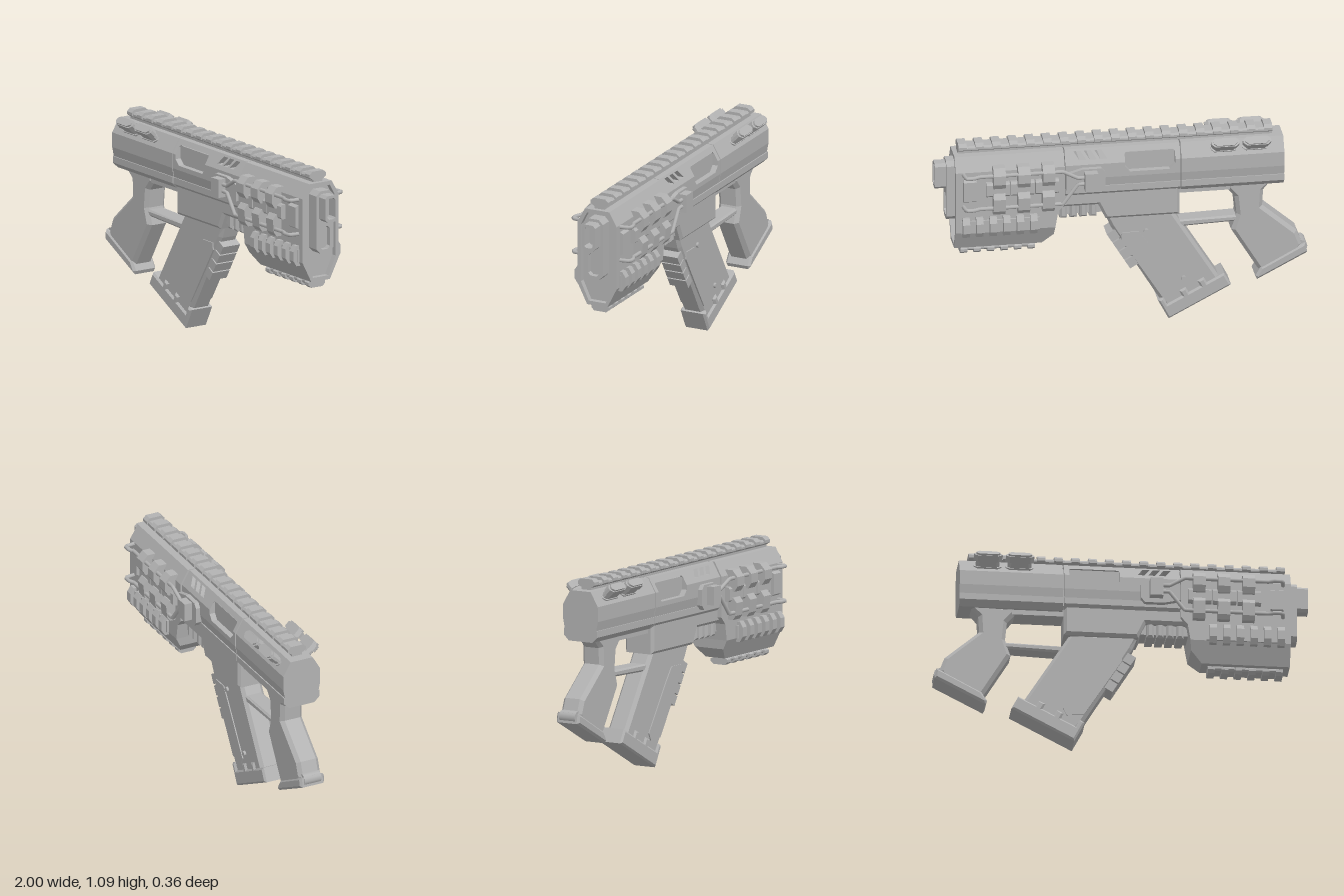
import * as THREE from 'three';

export function createModel() {
  const model = new THREE.Group();
  const grey = new THREE.MeshStandardMaterial({ color: 0xb2b2b2 });
  grey.name = 'grey metal';

  const add = (name, geo) => {
    const mesh = new THREE.Mesh(geo, grey);
    mesh.name = name;
    model.add(mesh);
    return mesh;
  };
  const poly = (pts, holes = []) => {
    const s = new THREE.Shape(pts.map(p => new THREE.Vector2(...p)));
    s.holes = holes.map(h => new THREE.Path(h.map(p => new THREE.Vector2(...p))));
    return s;
  };
  const box = (name, x0, x1, y0, y1, z0, z1) =>
    add(name, new THREE.BoxGeometry(x1 - x0, y1 - y0, z1 - z0)
      .translate((x0 + x1) / 2, (y0 + y1) / 2, (z0 + z1) / 2));

  // Side outline with half width tapering linearly from w0 at y0 to w1 at y1
  const slab = (name, pts, y0, w0, y1, w1, holes) => {
    const g = new THREE.ExtrudeGeometry(poly(pts, holes), { depth: 1, bevelEnabled: false });
    const p = g.attributes.position;
    for (let i = 0; i < p.count; i++) {
      const w = w0 + (w1 - w0) * (p.getY(i) - y0) / (y1 - y0);
      p.setZ(i, p.getZ(i) > 0.5 ? w : -w);
    }
    g.computeVertexNormals();
    return add(name, g);
  };
  const band = (name, x0, x1, y0, w0, y1, w1) =>
    slab(name, [[x0, y0], [x1, y0], [x1, y1], [x0, y1]], y0, w0, y1, w1);

  // Side outline with chamfered edges, centred on z
  const plate = (name, pts, half, bevel = 0.015) =>
    add(name, new THREE.ExtrudeGeometry(poly(pts), {
      depth: 2 * (half - bevel), bevelThickness: bevel, bevelSize: bevel,
      bevelOffset: -bevel, bevelSegments: 1,
    }).translate(0, 0, bevel - half));

  // Side outline between two depths on one side
  const sidePlate = (name, pts, s, z0, z1) =>
    add(name, new THREE.ExtrudeGeometry(poly(pts), { depth: z1 - z0, bevelEnabled: false })
      .translate(0, 0, s > 0 ? z0 : -z1));

  // Section given as [z, y], swept along x
  const along = (name, pts, x0, x1, holes = []) => {
    const flip = list => list.map(([z, y]) => [-z, y]);
    return add(name, new THREE.ExtrudeGeometry(poly(flip(pts), holes.map(flip)),
      { depth: x1 - x0, bevelEnabled: false }).rotateY(Math.PI / 2).translate(x0, 0, 0));
  };
  const mirror = half => [...half, ...half.map(([z, y]) => [-z, y]).reverse()];
  const slot = (w, y0, y1, c) =>
    mirror([[w - c, y1], [w, y1 - c], [w, y0 + c], [w - c, y0]]);

  // Upper receiver: rear part, then middle part with window notch and slots
  const layers = (name, x0, x1) => {
    band(name, x0, x1, 0.83, 0.1, 0.88, 0.11);
    band(name, x0, x1, 0.795, 0.106, 0.83, 0.106);
    band(name, x0, x1, 0.765, 0.075, 0.795, 0.106);
  };
  layers('rearReceiver', -0.865, -0.313);
  band('rearReceiver', -0.865, -0.313, 0.88, 0.11, 0.96, 0.11);
  band('rearReceiverTop', -0.865, -0.313, 0.96, 0.11, 1.037, 0.065);
  layers('middleReceiver', -0.307, 0.31);
  slab('middleReceiver', [[-0.307, 0.88], [0.31, 0.88], [0.31, 0.96], [-0.01, 0.96],
    [-0.01, 0.935], [-0.035, 0.905], [-0.25, 0.905], [-0.28, 0.935], [-0.28, 0.96],
    [-0.307, 0.96]], 0.88, 0.11, 0.96, 0.11);
  const vents = [0, 1, 2].map(i => [[0.085, 0.983], [0.122, 0.983], [0.15, 1.026], [0.113, 1.026]]
    .map(([x, y]) => [x + i * 0.056, y]));
  slab('middleReceiverTop', [[-0.307, 0.96], [-0.28, 0.96], [-0.28, 1], [-0.27, 1.01],
    [-0.02, 1.01], [-0.01, 1], [-0.01, 0.96], [0.31, 0.96], [0.31, 1.037], [-0.307, 1.037]],
    0.96, 0.11, 1.037, 0.065, vents);
  box('receiverCore', -0.34, 0.01, 0.79, 1.005, -0.078, 0.078);

  // Lower receiver and ribbed throat
  plate('lowerReceiver', [[-0.307, 0.8], [-0.307, 0.625], [0.09, 0.625], [0.13, 0.71],
    [0.35, 0.71], [0.35, 0.8]], 0.09);
  box('throat', 0.1, 0.38, 0.655, 0.72, -0.055, 0.055);
  for (let i = 0; i < 4; i++) {
    const x = 0.135 + i * 0.053;
    plate('throatRib', [[x, 0.72], [x, 0.637], [x + 0.04, 0.637], [x + 0.04, 0.72]], 0.07, 0.012);
  }

  // Front shroud with open rim
  band('shroudTop', 0.315, 0.87, 0.96, 0.116, 1.037, 0.072);
  slab('shroudBody', [[0.315, 0.96], [0.315, 0.74], [0.35, 0.7], [0.365, 0.61],
    [0.87, 0.61], [0.87, 0.96]], 0.61, 0.116, 0.96, 0.116);
  slab('shroudBottom', [[0.365, 0.61], [0.37, 0.56], [0.43, 0.5], [0.87, 0.5], [0.87, 0.61]],
    0.5, 0.06, 0.61, 0.116);
  const rim = mirror([[0.072, 1.037], [0.116, 0.96], [0.116, 0.61], [0.06, 0.5]]);
  along('shroudRim', rim, 0.87, 0.9,
    [rim.map(([z, y]) => [z * 0.84, 0.77 + (y - 0.77) * 0.92])]);

  // Muzzle plate, lower port and hollow barrel
  along('muzzleBase', slot(0.055, 0.66, 1, 0.025), 0.86, 0.91);
  along('muzzlePlate', slot(0.055, 0.66, 1, 0.025), 0.91, 0.94, [slot(0.033, 0.68, 0.805, 0.015)]);
  along('barrel', slot(0.04, 0.84, 0.985, 0.015), 0.94, 1, [slot(0.025, 0.855, 0.97, 0.01)]);

  // Toothed accessory rails, top and bottom
  const rail = (name, x0, x1, count, width, y, dir) => {
    const at = pts => mirror(pts.map(([z, h]) => [z, y + dir * h]));
    along(name, at([[0.03, 0], [0.03, 0.012], [0.045, 0.022], [0.045, 0.032], [0.036, 0.042]]), x0, x1);
    const tooth = at([[0.03, 0], [0.03, 0.012], [0.053, 0.026], [0.053, 0.042], [0.035, 0.058]]);
    const step = (x1 - x0 - width) / (count - 1);
    for (let i = 0; i < count; i++) along(name + 'Tooth', tooth, x0 + i * step, x0 + i * step + width);
  };
  rail('topRail', -0.81, 0.875, 19, 0.045, 1.037, 1);
  rail('bottomRail', 0.465, 0.865, 6, 0.037, 0.51, -0.9);

  for (const s of [1, -1]) {
    const section = (name, pts, x0, x1) => along(name, pts.map(([z, y]) => [z * s, y]), x0, x1);

    // Side rail teeth
    section('sideRail', [[0.1, 0.61], [0.127, 0.61], [0.127, 0.68], [0.1, 0.68]], 0.45, 0.87);
    for (let i = 0; i < 6; i++) {
      const x = 0.465 + i * 0.0725;
      section('sideRailTooth', [[0.1, 0.59], [0.132, 0.59], [0.152, 0.62], [0.152, 0.67],
        [0.132, 0.7], [0.1, 0.7]], x, x + 0.038);
    }

    // Cable clips and the cells between them
    for (let i = 0; i < 3; i++) {
      const x = 0.375 + i * 0.132;
      section('upperClip', [[0.1, 0.99], [0.145, 0.99], [0.178, 0.955], [0.178, 0.905],
        [0.158, 0.875], [0.1, 0.875]], x, x + 0.065);
      section('lowerClip', [[0.1, 0.842], [0.15, 0.842], [0.172, 0.815], [0.165, 0.745],
        [0.148, 0.722], [0.1, 0.722]], x, x + 0.065);
      section('cell', [[0.1, 0.9], [0.135, 0.9], [0.145, 0.89], [0.145, 0.83],
        [0.135, 0.82], [0.1, 0.82]], x - 0.025, x + 0.1);
    }
    section('endPost', [[0.1, 0.93], [0.135, 0.91], [0.135, 0.8], [0.1, 0.78]], 0.79, 0.86);

    // Cable junction and cables
    sidePlate('junctionPlate', [[0.1, 0.92], [0.12, 0.945], [0.22, 0.945], [0.31, 0.92],
      [0.31, 0.83], [0.22, 0.81], [0.12, 0.81], [0.1, 0.835]], s, 0.09, 0.135);
    sidePlate('junctionBox', [[0.145, 0.835], [0.215, 0.835], [0.215, 0.935], [0.145, 0.935]], s, 0.13, 0.18);
    for (const [ya, yb] of [[0.905, 0.95], [0.868, 0.763]]) {
      const path = new THREE.CurvePath();
      const pts = [[0.2, ya, 0.15], [0.25, ya, 0.15], [0.33, yb, 0.155], [0.78, yb, 0.155],
        [0.81, yb, 0.17], [0.85, yb, 0.17], [0.86, yb, 0.1]].map(([x, y, z]) => new THREE.Vector3(x, y, z * s));
      for (let i = 1; i < pts.length; i++) path.add(new THREE.LineCurve3(pts[i - 1], pts[i]));
      add('cable', new THREE.TubeGeometry(path, 60, 0.011, 8));
    }

    // Angled sight housings on the rear
    for (const x of [-0.715, -0.545]) {
      const hex = k => poly([[-0.075, -0.008], [-0.055, -0.025], [0.055, -0.025], [0.075, -0.008],
        [0.075, 0.008], [0.055, 0.025], [-0.055, 0.025], [-0.075, 0.008]].map(([a, b]) => [a * k, b * k]));
      for (const [name, k, start, end] of [['sightBody', 0.84, 0, 0.1], ['sightFlange', 1, 0.055, 0.09],
        ['sightFoot', 1, 0.01, 0.025]]) {
        const m = add(name, new THREE.ExtrudeGeometry(hex(k), { depth: end - start, bevelEnabled: false })
          .translate(0, 0, start));
        m.rotation.x = -Math.PI / 4 * (s > 0 ? 1 : 3);
        m.position.set(x, 0.985, 0.07 * s);
      }
    }

    // Raised grip panel on the magazine
    sidePlate('magazinePanel', [[-0.09, 0.53], [0, 0.53], [0.005, 0.49], [-0.2, 0.165],
      [-0.29, 0.16], [-0.31, 0.2], [-0.14, 0.46]], s, 0.06, 0.069);
  }

  // Rear grip, its bridge, butt plate and trigger guard
  plate('rearGrip', [[-0.81, 0.78], [-0.76, 0.72], [-0.755, 0.63], [-0.94, 0.47], [-0.97, 0.39],
    [-0.95, 0.35], [-0.745, 0.24], [-0.588, 0.5], [-0.617, 0.59], [-0.607, 0.69],
    [-0.565, 0.74], [-0.565, 0.78]], 0.065, 0.02);
  box('gripBridge', -0.58, -0.29, 0.738, 0.775, -0.06, 0.06);
  plate('buttPlate', [[-0.985, 0.4], [-0.995, 0.345], [-0.725, 0.205], [-0.715, 0.225],
    [-0.745, 0.275], [-0.95, 0.385]], 0.073, 0.012);
  add('buttPin', new THREE.CylinderGeometry(0.035, 0.035, 0.1, 12).rotateX(Math.PI / 2)
    .translate(-0.962, 0.375, 0));
  plate('triggerGuard', [[-0.63, 0.58], [-0.63, 0.545], [-0.3, 0.533], [-0.27, 0.57]], 0.05, 0.01);

  // Magazine grip, front ribs and base
  plate('magazine', [[-0.27, 0.64], [0.09, 0.64], [0.06, 0.565], [-0.2, 0.13], [-0.25, 0.06],
    [-0.53, 0.22]], 0.063, 0.018);
  for (let i = 0; i < 4; i++) {
    const t = 0.08 + i * 0.125;
    const rib = add('magazineRib', new THREE.BoxGeometry(0.055, 0.075, 0.11));
    rib.position.set(0.055 - 0.26 * t, 0.55 - 0.43 * t, 0);
    rib.rotation.z = 1.026;
  }
  const local = ([a, b]) => [-0.585 + 0.886 * a + 0.463 * b, 0.185 - 0.463 * a + 0.886 * b];
  plate('magazineBase', [[0, 0], [0.378, 0], [0.378, 0.125], [0.345, 0.125], [0.345, 0.08],
    [0.255, 0.08], [0.255, 0.115], [0.215, 0.115], [0.215, 0.08], [0.145, 0.08], [0.145, 0.115],
    [0.105, 0.115], [0.105, 0.08], [0, 0.08]].map(local), 0.074, 0.01);
  for (const [x, y] of [[-0.13, 0.53], [-0.33, 0.24]])
    add('magazinePin', new THREE.CylinderGeometry(0.014, 0.014, 0.02, 12).rotateX(Math.PI / 2)
      .translate(x, y, -0.066));

  return model;
}
